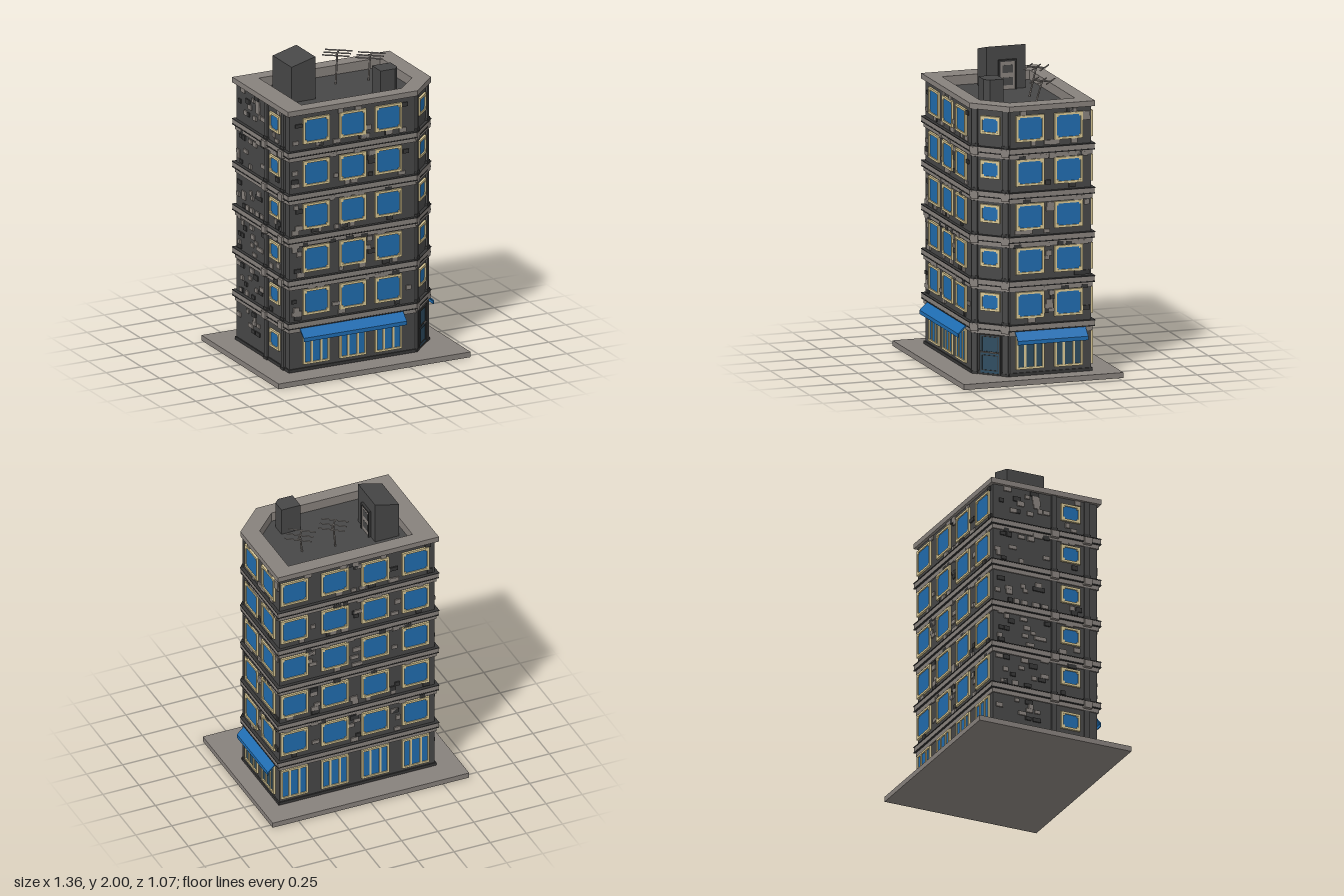
import * as THREE from 'three';

const mat = (name, color) => {
  const m = new THREE.MeshStandardMaterial({ color });
  m.name = name;
  return m;
};

export function createModel() {
  const wall = mat('dark wall', 0x474747), stone = mat('grey stone', 0x87817c);
  const cream = mat('cream frame', 0xd8c794), glass = mat('blue glass', 0x206cae);
  const cloth = mat('blue awning', 0x1f6db2), dark = mat('dark door glass', 0x2d4c60);
  const charcoal = mat('charcoal', 0x363636);

  const model = new THREE.Group();
  model.name = 'cornerBuilding';
  const add = (parent, name, geo, m, x = 0, y = 0, z = 0) => {
    const mesh = new THREE.Mesh(geo, m);
    mesh.name = name;
    mesh.position.set(x, y, z);
    parent.add(mesh);
    return mesh;
  };
  const box = (parent, name, m, w, h, d, x, y, z) =>
    add(parent, name, new THREE.BoxGeometry(w, h, d), m, x, y, z);

  let seed = 7;
  const rand = () => (seed = (seed * 16807) % 2147483647) / 2147483647;

  // Rectangle with the front-left corner cut along x + z = c
  const plan = (x0, x1, z0, z1, c) =>
    [[x0, z0], [x0, z1], [c - z1, z1], [x1, c - x1], [x1, z0]].map(([x, z]) => new THREE.Vector2(x, -z));
  const outline = (o) => plan(-0.52 - o, 0.555 + o, -0.36 - o, 0.37 + o, 0.738 + o * 1.414);
  const slab = (name, m, pts, y0, y1, hole) => {
    const s = new THREE.Shape(pts);
    if (hole) s.holes.push(new THREE.Path(hole));
    const g = new THREE.ExtrudeGeometry(s, { depth: y1 - y0, bevelEnabled: false });
    g.rotateX(-Math.PI / 2);
    return add(model, name, g, m, 0, y0, 0);
  };

  // Pavement, body and parapet
  const ROOF = 1.718;
  box(model, 'pavement', stone, 1.36, 0.035, 1.065, 0, 0.0175, 0);
  slab('walls', wall, outline(0), 0.035, ROOF);
  slab('plinth', charcoal, outline(0.008), 0.035, 0.055);
  const well = plan(-0.4, 0.46, -0.285, 0.3, 0.61);
  const wellBack = plan(-0.41, 0.47, -0.295, 0.31, 0.624);
  slab('parapetWall', wall, outline(0), ROOF, 1.745, wellBack);
  slab('parapetLining', stone, wellBack, ROOF, 1.745, well);
  slab('parapetCap', stone, outline(0.02), 1.745, 1.78, well);

  // Cornices between floors
  const PITCH = 0.285;
  for (let i = 0; i < 5; i++) {
    const y = 0.325 + i * PITCH;
    slab('corniceFrieze', stone, outline(0.008), y - 0.028, y);
    slab('corniceLower', charcoal, outline(0.02), y, y + 0.007);
    slab('corniceBand', stone, outline(0.018), y + 0.007, y + 0.036);
    slab('corniceLip', charcoal, outline(0.022), y + 0.036, y + 0.041);
  }

  // Each facade is a group whose local z points outwards
  const facade = (name, x, z, turn) => {
    const g = new THREE.Group();
    g.name = name;
    g.position.set(x, 0, z);
    g.rotation.y = turn;
    model.add(g);
    return g;
  };
  const front = facade('frontFacade', 0, 0.37, 0);
  const left = facade('leftFacade', 0.555, 0, Math.PI / 2);
  const back = facade('backFacade', 0, -0.36, Math.PI);
  const right = facade('rightFacade', -0.52, 0, -Math.PI / 2);
  const corner = facade('cornerFacade', 0.4605, 0.2775, Math.PI / 4);

  const frame = (g, u, y, w, h, t, m = cream) => {
    for (const s of [-1, 1]) {
      box(g, 'frameRail', m, w, t, 0.016, u, y + s * (h - t) / 2, 0.006);
      box(g, 'frameStile', m, t, h - 2 * t, 0.016, u + s * (w - t) / 2, y, 0.006);
    }
  };
  const windowUnit = (g, u, y, w, h) => {
    box(g, 'windowPane', glass, w - 0.02, h - 0.02, 0.008, u, y, 0.002);
    frame(g, u, y, w, h, 0.014);
    // small corner brackets
    for (const a of [-1, 1]) for (const b of [-1, 1])
      box(g, 'frameCorner', cream, 0.012, 0.012, 0.012, u + a * (w / 2 - 0.019), y + b * (h / 2 - 0.019), 0.006);
  };
  const shopWindow = (g, u, m) => {
    const y = 0.185, w = 0.188, h = 0.215;
    box(g, 'shopPane', m, w - 0.02, h - 0.02, 0.008, u, y, 0.002);
    frame(g, u, y, w, h, 0.013);
    for (const s of [-1, 1]) box(g, 'mullion', cream, 0.014, h - 0.02, 0.014, u + s * 0.034, y, 0.006);
  };

  // Loose bricks, kept clear of the windows
  const bricks = (g, u0, u1, y0, rows, count, holes, hw, hh, yc) => {
    for (let n = 0, tries = 0; n < count && tries < 250; tries++) {
      const w = 0.03 + rand() * 0.026, h = 0.023 + rand() * 0.01;
      const u = u0 + w / 2 + rand() * (u1 - u0 - w);
      const y = y0 + 0.015 + Math.floor(rand() * rows) * 0.028;
      if (holes.some((c) => Math.abs(u - c) < hw + w / 2 && Math.abs(y - yc) < hh + h / 2)) continue;
      box(g, 'brick', rand() < 0.7 ? stone : charcoal, w, h, 0.014, u, y, 0.002);
      n++;
    }
  };

  const sides = [
    { g: front, us: [-0.334, -0.074, 0.178], u0: -0.515, u1: 0.345, n: 17, shop: glass },
    { g: left, us: [-0.05, 0.207], u0: -0.16, u1: 0.355, n: 11, shop: dark },
    { g: back, us: [-0.455, -0.175, 0.105, 0.385], u0: -0.55, u1: 0.51, n: 17, shop: glass },
  ];
  for (const { g, us, u0, u1, n, shop } of sides) {
    for (const u of us) shopWindow(g, u, shop);
    for (let i = 0; i < 5; i++) {
      const y = 0.49 + i * PITCH;
      for (const u of us) windowUnit(g, u, y, 0.188, 0.17);
      bricks(g, u0, u1, 0.375 + i * PITCH, 8, n, us, 0.09, 0.075, y);
    }
  }

  // Narrow bays with pilasters: cut corner and right side
  const bay = (g, u, half, capital) => {
    for (const s of [-1, 1]) {
      const pu = u + s * half;
      for (let i = 0; i < 6; i++) {
        const y0 = i ? 0.366 + (i - 1) * PITCH : 0.035, y1 = i < 5 ? 0.297 + i * PITCH : 1.745;
        box(g, 'pilaster', wall, 0.036, y1 - y0, 0.02, pu, (y0 + y1) / 2, 0.003);
        box(g, 'pilasterFoot', charcoal, 0.046, 0.016, 0.026, pu, y0 + 0.008, 0.003);
        if (i < 5) box(g, 'pilasterCapital', stone, 0.054, 0.045, capital, pu, y1 + 0.036, capital / 2);
      }
    }
    for (let i = 0; i < 5; i++) windowUnit(g, u, 0.505 + i * PITCH, 0.135, 0.116);
  };
  bay(corner, 0, 0.108, 0.02);
  bay(right, 0.18, 0.115, 0.032);
  windowUnit(right, 0.18, 0.2, 0.135, 0.116);
  for (let i = 0; i < 6; i++) {
    bricks(right, -0.35, 0.04, 0.09 + i * PITCH, 8, i ? 15 : 9, [], 0, 0, 0);
    if (i) bricks(right, 0.09, 0.27, 0.09 + i * PITCH, 8, 3, [0.18], 0.07, 0.065, 0.22 + i * PITCH);
  }

  // Corner entrance door
  box(corner, 'doorLeaf', dark, 0.136, 0.25, 0.012, 0, 0.165, 0.004);
  frame(corner, 0, 0.165, 0.15, 0.26, 0.01, charcoal);
  box(corner, 'doorRail', charcoal, 0.13, 0.01, 0.018, 0, 0.18, 0.006);
  for (const y of [0.112, 0.232]) frame(corner, 0, y, 0.114, 0.1, 0.004, charcoal);
  box(corner, 'doorHandle', stone, 0.04, 0.006, 0.01, 0.03, 0.18, 0.017);

  // Awnings: thin sloping sheet with a hanging edge
  const awning = (g, u, w) => {
    const s = new THREE.Shape([[0, 0.328], [0, 0.318], [0.053, 0.266], [0.053, 0.247], [0.059, 0.247], [0.059, 0.272]]
      .map(([a, b]) => new THREE.Vector2(a + 0.004, b)));
    const geo = new THREE.ExtrudeGeometry(s, { depth: w, bevelEnabled: false });
    geo.rotateY(-Math.PI / 2);
    add(g, 'awning', geo, cloth, u + w / 2, 0, 0);
  };
  awning(front, -0.085, 0.73);
  awning(left, 0.085, 0.47);

  // Roof stair house with a sloping top and a door
  const shed = new THREE.Shape([[-0.355, ROOF], [-0.187, ROOF], [-0.187, 2], [-0.355, 1.955]]
    .map(([x, y]) => new THREE.Vector2(x, y)));
  add(model, 'stairHouse', new THREE.ExtrudeGeometry(shed, { depth: 0.26, bevelEnabled: false }), wall, 0, 0, -0.182);
  box(model, 'stairDoor', stone, 0.012, 0.18, 0.1, -0.183, 1.808, -0.06);
  for (const z of [-0.115, -0.005]) box(model, 'stairDoorPost', charcoal, 0.02, 0.19, 0.01, -0.18, 1.813, z);
  box(model, 'stairDoorLintel', charcoal, 0.02, 0.012, 0.12, -0.18, 1.905, -0.06);
  for (const y of [1.77, 1.85]) box(model, 'stairDoorPanel', wall, 0.006, 0.05, 0.07, -0.179, y, -0.06);

  // Chimney block with a cut corner
  slab('chimney', wall, plan(0.182, 0.314, 0.14, 0.262, 0.545), ROOF, 1.902);

  // Roof aerials
  const rod = (g, name, a, b, r) => {
    const p = new THREE.Vector3(...a), q = new THREE.Vector3(...b), d = q.clone().sub(p);
    const mesh = add(g, name, new THREE.CylinderGeometry(r, r, d.length(), 6), stone);
    mesh.position.copy(p).add(q).multiplyScalar(0.5);
    mesh.quaternion.setFromUnitVectors(new THREE.Vector3(0, 1, 0), d.normalize());
  };
  const aerial = (x, y, z) => {
    const g = new THREE.Group();
    g.name = 'aerial';
    model.add(g);
    rod(g, 'mast', [x - 0.03, ROOF, z + 0.035], [x, y, z], 0.006);
    rod(g, 'boom', [x - 0.036, y, z + 0.048], [x + 0.036, y, z - 0.048], 0.0055);
    for (const k of [-0.95, 0, 0.95]) {
      const cx = x + k * 0.034, cz = z - k * 0.046;
      rod(g, 'element', [cx - 0.07, y, cz - 0.052], [cx + 0.07, y, cz + 0.052], 0.005);
    }
  };
  aerial(0.09, 1.91, -0.157);
  aerial(0.305, 1.87, -0.122);

  return model;
}
